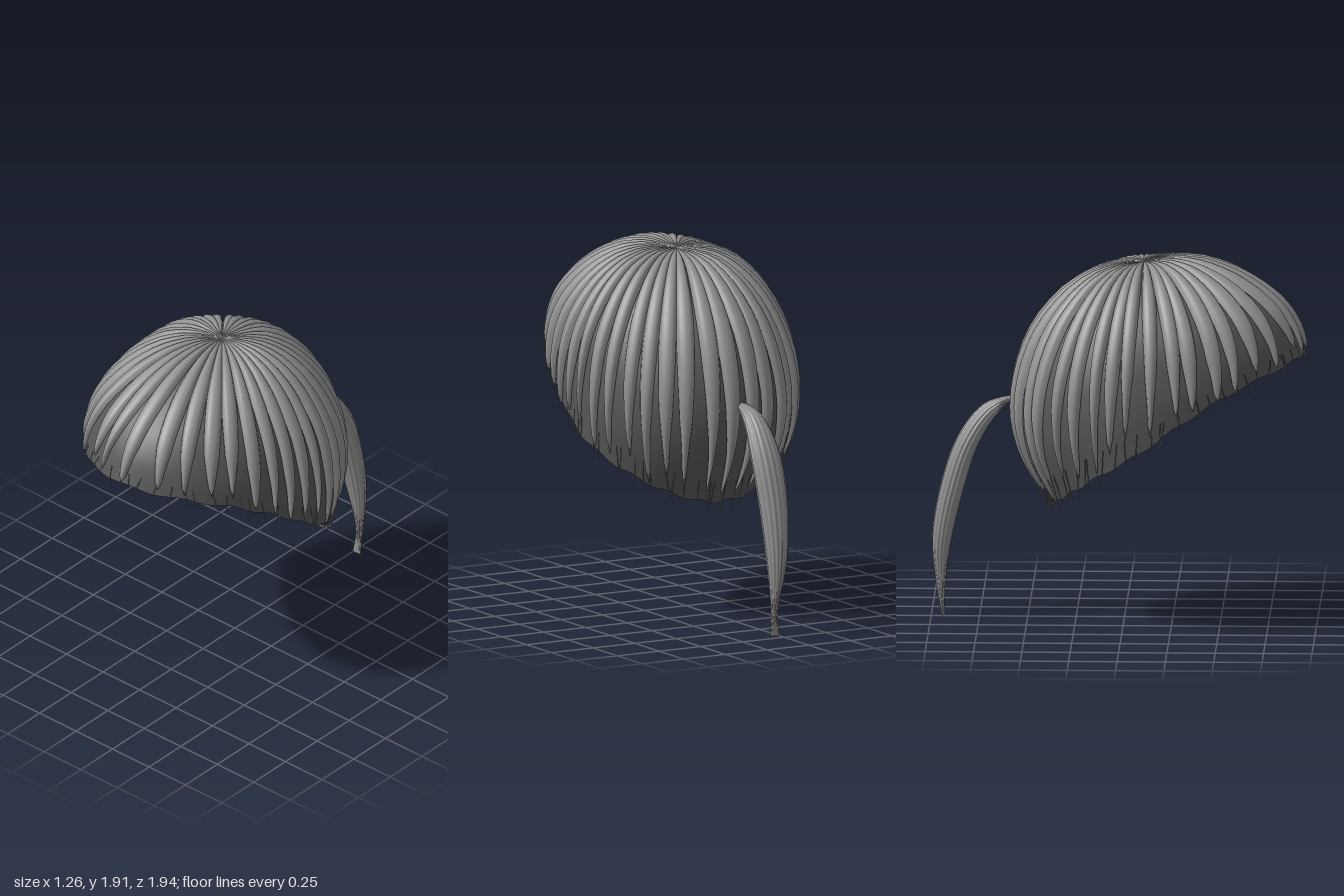
import * as THREE from 'three';

const hair = new THREE.MeshStandardMaterial({ color: 0x909090, side: THREE.DoubleSide });
hair.name = 'hair grey';
const under = new THREE.MeshStandardMaterial({ color: 0x585858, side: THREE.DoubleSide });
under.name = 'scalp dark grey';

let seed = 7;
const rand = () => (seed = (seed * 16807) % 2147483647) / 2147483647;

// Surface from a rule f(u, v) -> Vector3, with u and v running 0..1
function surface(nu, nv, f) {
  const pos = [], idx = [];
  for (let j = 0; j <= nv; j++)
    for (let i = 0; i <= nu; i++) pos.push(...f(i / nu, j / nv).toArray());
  for (let j = 0; j < nv; j++)
    for (let i = 0; i < nu; i++) {
      const a = j * (nu + 1) + i, b = a + nu + 1;
      idx.push(a, b, a + 1, a + 1, b, b + 1);
    }
  const g = new THREE.BufferGeometry();
  g.setAttribute('position', new THREE.Float32BufferAttribute(pos, 3));
  g.setIndex(idx);
  g.computeVertexNormals();
  return g;
}

// Crown-to-rim profiles (radius, height) for front, side and back
const spline = (pts) => new THREE.SplineCurve(pts.map((p) => new THREE.Vector2(...p)));
const front = spline([[0, 1.865], [0.2, 1.875], [0.45, 1.81], [0.65, 1.69], [0.77, 1.55], [0.83, 1.4]]);
const side = spline([[0, 1.865], [0.2, 1.84], [0.4, 1.71], [0.54, 1.49], [0.595, 1.22], [0.595, 0.97]]);
const back = spline([[0, 1.865], [0.28, 1.79], [0.54, 1.53], [0.65, 1.2], [0.62, 0.9], [0.47, 0.61]]);
const centre = new THREE.Vector3(0, 1.2, 0.15);

// Point on the head at angle a (0 = front), t from crown to rim, lifted outward
function headPoint(a, t, lift = 0) {
  const s = Math.sin(a), c = Math.cos(a);
  const p = (c > 0 ? front : back).getPoint(t), q = side.getPoint(t);
  const r = t < 1e-6 ? 0 : 1 / Math.hypot(s / q.x, c / p.x);
  const k = Math.pow(Math.abs(c), 2 - t);
  const v = new THREE.Vector3(r * s, q.y + (p.y - q.y) * k, 0.1 + r * c);
  return v.addScaledVector(v.clone().sub(centre).normalize(), lift);
}

export function createModel() {
  const model = new THREE.Group();
  const add = (name, geometry, material, parent = model) => {
    const m = new THREE.Mesh(geometry, material);
    m.name = name;
    parent.add(m);
  };

  // Scalp shell, open below, with a slightly wavy rim
  add('scalp', surface(96, 24, (u, v) => {
    const a = u * Math.PI * 2;
    const p = headPoint(a, v);
    p.y += 0.008 * Math.sin(a * 18) * Math.pow(v, 8);
    return p;
  }), under);

  // Rounded locks radiating from the crown and narrowing to points near the rim
  const locks = new THREE.Group();
  locks.name = 'locks';
  model.add(locks);
  const count = 36;
  for (let n = 0; n < count; n++) {
    const a0 = ((n + 0.5 + (rand() - 0.5) * 0.3) / count) * Math.PI * 2;
    const end = 0.9 + rand() * 0.08;
    const slim = 0.5 + rand() * 0.3;
    const lean = (rand() - 0.5) * 0.06;
    add('lock', surface(8, 20, (u, v) => {
      const t = v * end, x = u * 2 - 1;
      const fullness = 1.12 - slim * THREE.MathUtils.smoothstep(t, 0.25, 0.9);
      const tip = Math.sqrt(Math.max(0, Math.min(1, (1 - v) / 0.25)));
      const width = (Math.PI / count) * fullness * tip;
      const rise = Math.min(1, t * 3.5);
      const lift = 0.006 + rise * (0.004 + 0.032 * Math.sqrt(1 - x * x) * (0.35 + 0.65 * tip));
      return headPoint(a0 + lean * v * v + x * width, t, lift);
    }), hair, locks);
  }

  // Fine stray wisps curling off the rim
  const wisps = new THREE.Group();
  wisps.name = 'wisps';
  model.add(wisps);
  for (let n = 0; n < 64; n++) {
    const a = ((n + rand()) / 64) * Math.PI * 2;
    const len = 0.03 + rand() * 0.05, turn = (rand() - 0.5) * 0.16, out = 0.01 + rand() * 0.02;
    const root = headPoint(a, 0.9, 0.012), mid = headPoint(a + turn * 0.3, 0.97, out);
    const low = headPoint(a + turn * 0.6, 1, out * 0.7), tip = headPoint(a + turn, 1, out * 0.2);
    low.y -= len * 0.5;
    tip.y -= len * 0.7;
    const curve = new THREE.CatmullRomCurve3([root, mid, low, tip]);
    add('wisp', new THREE.TubeGeometry(curve, 8, 0.0025, 4), hair, wisps);
  }

  // Ponytail: ridged tapering tube; spine in space, sizes as (half width, half depth)
  const spine = new THREE.CatmullRomCurve3([
    [0, 1.15, -0.53], [0, 1.14, -0.6], [0, 1.08, -0.7], [0, 0.92, -0.81], [0, 0.68, -0.89],
    [0.012, 0.4, -0.945], [0.028, 0.15, -0.95], [0.02, 0, -0.937],
  ].map((p) => new THREE.Vector3(...p)));
  const sizes = spline([[0.035, 0.01], [0.042, 0.018], [0.058, 0.045], [0.08, 0.057], [0.077, 0.06],
    [0.055, 0.05], [0.018, 0.022], [0.025, 0.008]]);
  add('ponytail', surface(96, 32, (u, v) => {
    const th = u * Math.PI * 2;
    const p = spine.getPoint(v), d = spine.getTangent(v), w = sizes.getPoint(v);
    const ridge = 1 + 0.035 * Math.cos(th * 16);
    const normal = new THREE.Vector3(0, -d.z, d.y).normalize();
    p.x -= Math.sin(th) * w.x * ridge;
    return p.addScaledVector(normal, Math.cos(th) * w.y * ridge);
  }), hair);

  return model;
}
